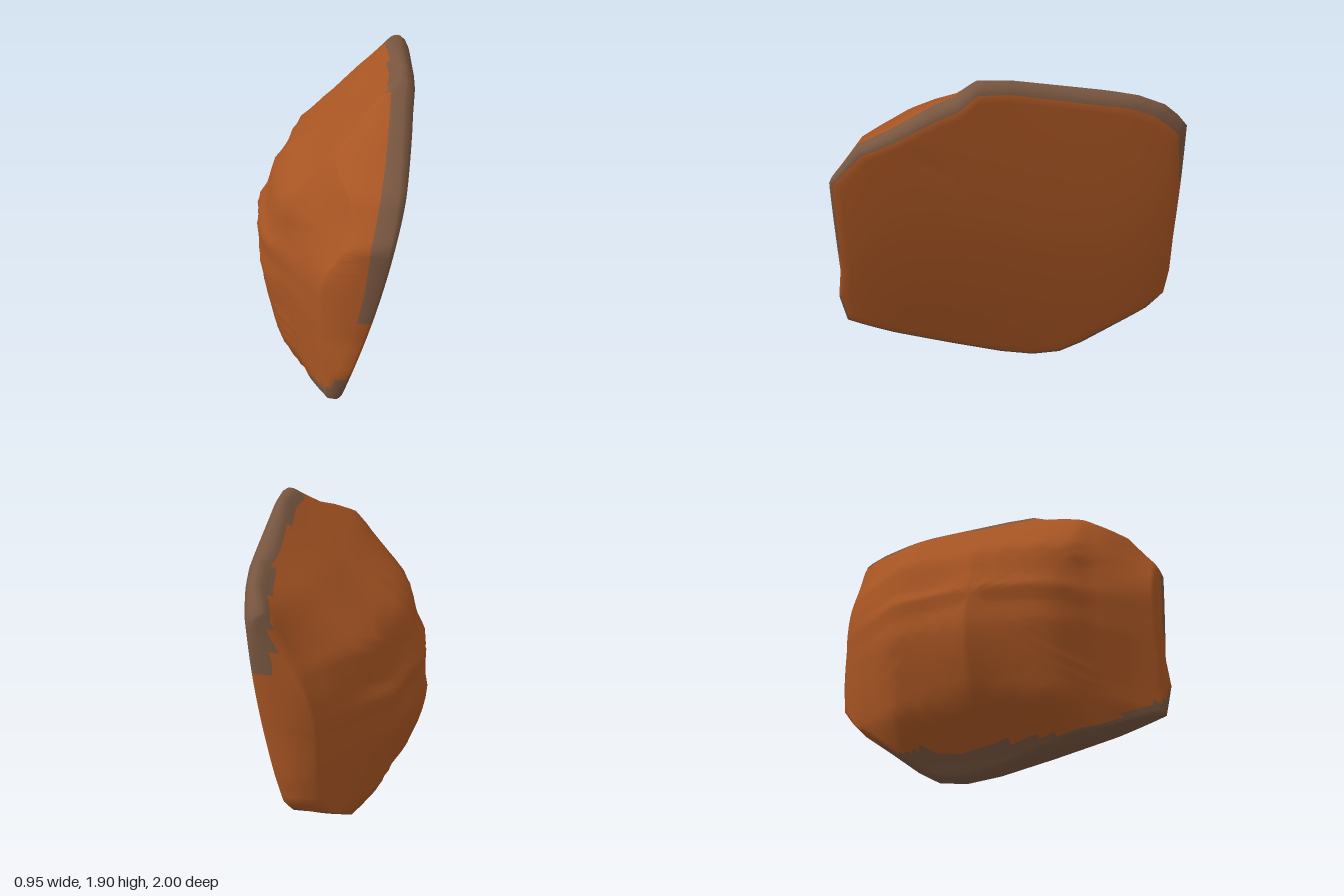
import * as THREE from 'three';
import { toCreasedNormals } from 'three/addons/utils/BufferGeometryUtils.js';

// Outline of the slab as [z, y], starting at the top and running towards the back
const OUTLINE = [
  [0.16, 1.9], [-0.02, 1.9], [-0.72, 1.79], [-0.87, 1.73], [-0.95, 1.66], [-1, 1.6],
  [-0.985, 1.2], [-0.975, 0.9], [-0.975, 0.66], [-0.955, 0.49], [-0.86, 0.38], [-0.68, 0.25],
  [-0.48, 0.1], [-0.34, 0.02], [-0.17, 0], [0.03, 0.03], [0.33, 0.11], [0.7, 0.22],
  [0.97, 0.32], [1, 0.52], [0.97, 0.72], [0.975, 1.33], [0.82, 1.53], [0.65, 1.61],
  [0.4, 1.75], [0.28, 1.8],
];
// Depth profiles of the domed side: [y, x] and [z, x]
const DOME_Y = [
  [0, -0.06], [0.1, -0.12], [0.36, -0.35], [0.6, -0.43], [0.78, -0.47], [0.9, -0.45],
  [1, -0.46], [1.08, -0.4], [1.3, -0.33], [1.5, -0.08], [1.63, 0.06], [1.7, 0.15],
  [1.8, 0.27], [1.9, 0.38],
];
const DOME_Z = [
  [-1, 0.12], [-0.97, -0.02], [-0.82, -0.15], [-0.7, -0.22], [-0.5, -0.38], [-0.2, -0.43],
  [-0.02, -0.47], [0.1, -0.44], [0.35, -0.39], [0.42, -0.36], [0.55, -0.28], [0.6, -0.19],
  [0.7, -0.12], [0.8, -0.04], [0.97, 0.08], [1, 0.15],
];
const MID_Y = 0.95;
const { smoothstep } = THREE.MathUtils;

function lookup(table, t) {
  if (t <= table[0][0]) return table[0][1];
  for (let i = 1; i < table.length; i++) {
    const [t0, v0] = table[i - 1], [t1, v1] = table[i];
    if (t <= t1) return v0 + (v1 - v0) * (t - t0) / (t1 - t0);
  }
  return table[table.length - 1][1];
}

const bump = (y, z, y0, z0, r) => Math.exp(-((y - y0) ** 2 + (z - z0) ** 2) / (r * r));

// Split face: a slightly twisted, bulging plane that falls off at its ends, with a small chip
const faceX = (y, z) => 0.028 + 0.207 * y + 0.02 * z + 0.04 * y * z + 0.04 * (1 - z ** 6)
  + 0.07 * Math.sin(Math.PI * y / 1.9) - 0.025 * bump(y, z, 1.4, 0.39, 0.05);

// Domed side: both profiles blended, thinner at the upper corners, always behind the split face
function domeX(y, z) {
  const u = (0.5 - lookup(DOME_Y, y)) / 0.97;
  const v = (0.5 - lookup(DOME_Z, z)) / 0.97;
  const x = 0.5 - 0.97 / Math.sqrt(Math.max(1, u ** -2 + v ** -2 - 1));
  const corner = 0.16 * smoothstep(z, 0.5, 0.95) + 0.07 * smoothstep(-z, 0.5, 0.95);
  return Math.min(x + corner * smoothstep(y, 1.05, 1.45), faceX(y, z) - 0.07);
}

const roughness = (y, z) => 0.008 * Math.sin(7 * z + 3 * y) * Math.sin(6 * y - 2 * z + 1);

// Width of the weathered band behind the split face
const crustWidth = (y) => 0.08 + 0.05 * smoothstep(y, 0.85, 1.6);

// Outline cut into short steps
function outlinePoints(step) {
  const points = [];
  OUTLINE.forEach(([z0, y0], i) => {
    const [z1, y1] = OUTLINE[(i + 1) % OUTLINE.length];
    const n = Math.ceil(Math.hypot(z1 - z0, y1 - y0) / step);
    for (let k = 0; k < n; k++) points.push([z0 + (z1 - z0) * k / n, y0 + (y1 - y0) * k / n]);
  });
  return points;
}

function stoneGeometry() {
  const outline = outlinePoints(0.05);
  const n = outline.length;
  const positions = [];

  // Adds one ring; scale(y) shrinks the outline and place(y, z, s) gives x
  const addRing = (scale, place) => outline.forEach(([z0, y0]) => {
    const s = scale(y0);
    const z = z0 * s, y = MID_Y + (y0 - MID_Y) * s;
    positions.push(place(y, z, s), y, z);
  });
  // Bevel is wide along the top, narrow at the ends and medium at the foot
  const bevel = (y) => 0.016 + 0.05 * smoothstep(y, 1.2, 1.8)
    + 0.016 * (1 - smoothstep(y, 0.1, 0.5));

  // Split face, from its middle to the bevel
  const faceSteps = [0, 0.2, 0.4, 0.6, 0.75, 0.87, 0.95, 1];
  faceSteps.forEach((f) => addRing((y) => f * (1 - bevel(y)), faceX));
  // Rim
  const thickness = (y, z) => faceX(y, z) - domeX(y, z);
  const rimOffset = (y, z) => Math.min(bevel(y) * 0.9, thickness(y, z) * 0.7);
  addRing((y) => 1 - bevel(y) * 0.35, (y, z) => faceX(y, z) - rimOffset(y, z) * 0.4);
  addRing(() => 1, (y, z) => faceX(y, z) - rimOffset(y, z));
  addRing(() => 0.997, (y, z) => faceX(y, z)
    - Math.max(rimOffset(y, z), Math.min(crustWidth(y), thickness(y, z) * 0.9)));
  // Domed side, from the rim to its middle
  [0.985, 0.965, 0.94, 0.91, 0.87, 0.82, 0.76, 0.69, 0.61, 0.52, 0.43, 0.34, 0.25, 0.16, 0.08, 0]
    .forEach((f) => addRing(() => f, (y, z, s) =>
      domeX(y, z) + roughness(y, z) * Math.min(1, (1 - s) * 5)));

  // Weathered crust lies on the upper rim and the foot
  const isCrust = (quad) => {
    const [x, y, z] = [0, 1, 2].map((k) => quad.reduce((sum, v) => sum + positions[v * 3 + k], 0) / 4);
    const upper = y > (z > 0 ? 0.86 : 1.28) && faceX(y, z) - x < crustWidth(y) + 0.01;
    const foot = y < 0.22 + (x + 0.1) * 0.95;
    return upper || foot;
  };

  const stone = [], crust = [];
  const rings = positions.length / 3 / n;
  const firstRim = faceSteps.length - 1;
  for (let i = 0; i < rings - 1; i++) {
    const onRim = i >= firstRim && i < firstRim + 8;
    for (let j = 0; j < n; j++) {
      const k = (j + 1) % n;
      const a = i * n + j, b = i * n + k, c = a + n, d = b + n;
      const faces = onRim && isCrust([a, b, c, d]) ? crust : stone;
      if (i > 0) faces.push(a, b, c);
      if (i < rings - 2) faces.push(b, d, c);
    }
  }

  const geometry = new THREE.BufferGeometry();
  geometry.setAttribute('position', new THREE.Float32BufferAttribute(positions, 3));
  geometry.setIndex([...stone, ...crust]);
  geometry.addGroup(0, stone.length, 0);
  geometry.addGroup(stone.length, crust.length, 1);
  return toCreasedNormals(geometry, 1);
}

export function createModel() {
  const stoneBrown = new THREE.MeshStandardMaterial({ color: 0xa85523 });
  stoneBrown.name = 'stoneBrown';
  const crustGrey = new THREE.MeshStandardMaterial({ color: 0x785640 });
  crustGrey.name = 'crustGrey';

  const group = new THREE.Group();
  group.name = 'splitStone';
  const stone = new THREE.Mesh(stoneGeometry(), [stoneBrown, crustGrey]);
  stone.name = 'stoneBody';
  group.add(stone);
  return group;
}
